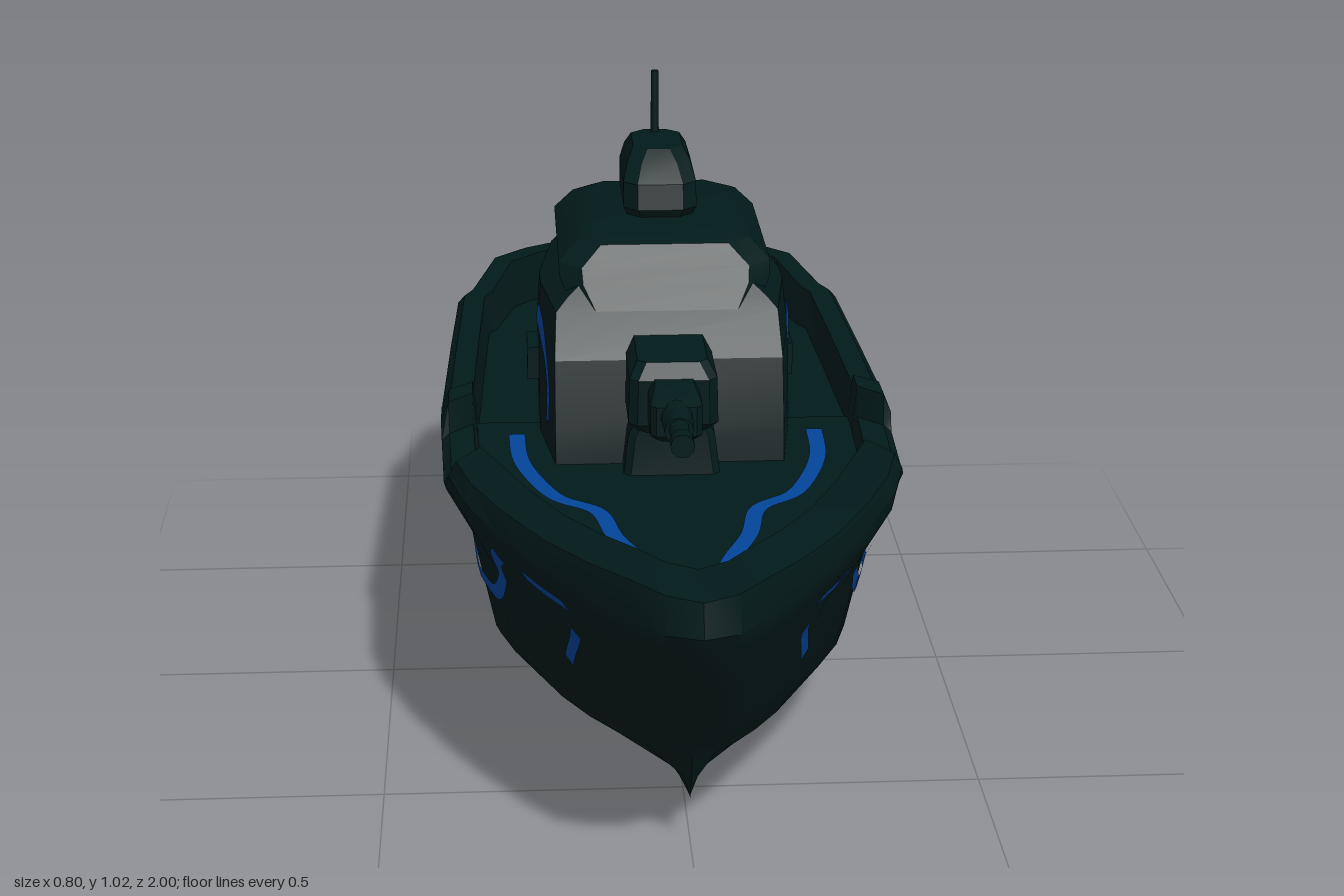
import * as THREE from 'three';
import { toCreasedNormals } from 'three/addons/utils/BufferGeometryUtils.js';

// Skin a list of equal-length rings of [x, y, z], closing both ends with strips
function loft(rings, crease) {
  const n = rings[0].length, pos = [];
  const quad = (a, b, c, d) => pos.push(...a, ...b, ...c, ...a, ...c, ...d);
  for (let i = 0; i < rings.length - 1; i++) {
    const p = rings[i], q = rings[i + 1];
    for (let j = 0; j < n; j++) {
      const k = (j + 1) % n;
      quad(p[j], p[k], q[k], q[j]);
    }
  }
  const first = rings[0], last = rings[rings.length - 1];
  for (let j = 0; j < n / 2; j++) {
    const m = (n - j) % n, l = n - j - 1;
    quad(first[j], first[m], first[l], first[j + 1]);
    quad(last[j], last[j + 1], last[l], last[m]);
  }
  const g = new THREE.BufferGeometry();
  g.setAttribute('position', new THREE.Float32BufferAttribute(pos, 3));
  g.computeVertexNormals();
  return toCreasedNormals(g, crease);
}

// Tapering block from sections [y, halfWidth, zBack, zFront]; corners cut by cx and cz
function block(sections, cx, cz = cx) {
  return loft(sections.map(([y, w, b, f]) => [
    [w, y, f - cz], [w, y, b + cz], [w - cx, y, b], [cx - w, y, b],
    [-w, y, b + cz], [-w, y, f - cz], [cx - w, y, f], [w - cx, y, f],
  ]), 0.4);
}

// Hull: stations run stern to bow, each with half width and bulwark height
function hullGeometry() {
  const stations = [
    [-1, 0.2, 0.52], [-0.95, 0.25, 0.525], [-0.88, 0.315, 0.525], [-0.71, 0.36, 0.51],
    [-0.68, 0.378, 0.506], [-0.4, 0.389, 0.506], [-0.06, 0.4, 0.506], [-0.05, 0.401, 0.524],
    [0.02, 0.401, 0.524], [0.04, 0.4, 0.472], [0.25, 0.393, 0.472], [0.3, 0.384, 0.515],
    [0.42, 0.357, 0.52], [0.56, 0.304, 0.525], [0.7, 0.238, 0.53], [0.82, 0.171, 0.54],
    [0.92, 0.105, 0.55], [0.98, 0.057, 0.55], [1, 0, 0.545],
  ];
  return loft(stations.map(([z, w, top]) => {
    const lift = 0.08 * Math.pow(Math.max(0, (z - 0.2) / 0.8), 1.5) + (z < -0.9 ? 0.012 : 0);
    const deck = z > -0.055 ? 0.442 : 0.43;
    const stern = z < -0.9;
    const flare = 1 - 0.04 * THREE.MathUtils.clamp((z - 0.1) / 0.4, 0, 1);
    const rim = z > 0.35 ? 0.82 : 0.86;
    // Levels: width factor, height, z at stern, z at bow
    const half = [
      [0, lift, -0.82, 0.7], [0.2, 0.045 + lift, -0.83, 0.72],
      [0.65, 0.1 + lift, -0.84, 0.75], [0.8 * flare, 0.16 + lift, -0.85, 0.79],
      [stern ? 0.94 : 0.9 * flare, stern ? 0.37 : 0.35, -0.995, 0.9],
      [0.99, Math.min(0.455, top - 0.03), -1, 0.98],
      [1, Math.min(0.49, top - 0.012), -1, 1], [0.965, top, -0.99, 0.99],
      [rim, top, -0.95, 0.86], [rim - 0.02, deck, -0.945, 0.84], [0, deck, -0.945, 0.84],
    ].map(([k, y, b, f]) => [k * w, y, THREE.MathUtils.lerp(b, f, (z + 1) / 2)]);
    const mirror = half.slice(1, -1).reverse().map(([x, y, zz]) => [-x, y, zz]);
    return [...half, ...mirror];
  }), 0.6);
}

// Painted ribbon laid onto a mesh: along x for [z, y] paths, downward for [x, z] paths
function stripe(target, path, width, down) {
  const curve = new THREE.SplineCurve(path.map(p => new THREE.Vector2(...p)));
  const count = Math.max(6, Math.ceil(curve.getLength() / 0.015));
  const ray = new THREE.Raycaster(), pos = [], index = [];
  const across = 3;
  for (let i = 0; i <= count; i++) {
    const p = curve.getPointAt(i / count), t = curve.getTangentAt(i / count);
    for (let s = 0; s < across; s++) {
      const o = (s / (across - 1) - 0.5) * width;
      const a = p.x - t.y * o, b = p.y + t.x * o;
      if (down) ray.set(new THREE.Vector3(a, 3, b), new THREE.Vector3(0, -1, 0));
      else ray.set(new THREE.Vector3(3, b, a), new THREE.Vector3(-1, 0, 0));
      const at = ray.intersectObject(target)[0].point;
      pos.push(at.x + (down ? 0 : 0.005), at.y + (down ? 0.005 : 0), at.z);
      if (i < count && s < across - 1) {
        const k = i * across + s;
        index.push(k, k + 1, k + across, k + 1, k + across + 1, k + across);
      }
    }
  }
  const g = new THREE.BufferGeometry();
  g.setAttribute('position', new THREE.Float32BufferAttribute(pos, 3));
  g.setIndex(index);
  g.computeVertexNormals();
  return g;
}

export function createModel() {
  const group = new THREE.Group();
  const dark = new THREE.MeshStandardMaterial({ color: 0x021a1a });
  dark.name = 'darkTeal';
  const blue = new THREE.MeshStandardMaterial({ color: 0x04449a, side: THREE.DoubleSide });
  blue.name = 'stripeBlue';
  const add = (name, geometry, material = dark) => {
    const mesh = new THREE.Mesh(geometry, material);
    mesh.name = name;
    group.add(mesh);
    return mesh;
  };
  const box = (name, w, h, d, x, y, z) =>
    add(name, new THREE.BoxGeometry(w, h, d).translate(x, y, z));
  const rod = (name, r0, r1, len, y, z) =>
    add(name, new THREE.CylinderGeometry(r1, r0, len, 12).rotateX(Math.PI / 2).translate(0, y, z));

  const hull = add('hull', hullGeometry());

  // Deckhouse, wheelhouse and sensor dome
  const house = add('deckhouse', block([
    [0.42, 0.225, -0.52, 0.13], [0.5, 0.225, -0.5, 0.12], [0.62, 0.224, -0.45, 0.09],
    [0.69, 0.22, -0.42, 0.03], [0.71, 0.2, -0.415, 0.01], [0.73, 0.175, -0.41, -0.01],
  ], 0.025, 0.19));
  add('wheelhouse', block([
    [0.69, 0.165, -0.42, 0.03], [0.73, 0.186, -0.465, 0.0], [0.755, 0.188, -0.47, -0.02],
    [0.79, 0.153, -0.46, -0.045], [0.8, 0.135, -0.44, -0.07],
  ], 0.04));
  add('sensorDome', block([
    [0.79, 0.055, -0.4, -0.19], [0.815, 0.066, -0.415, -0.175], [0.86, 0.066, -0.415, -0.185],
    [0.89, 0.057, -0.41, -0.22], [0.91, 0.045, -0.4, -0.25],
  ], 0.025));
  add('mast', new THREE.CylinderGeometry(0.007, 0.008, 0.125, 10).translate(0, 0.9625, -0.385));
  add('rearChute', block([
    [0.42, 0.07, -0.56, -0.4], [0.5, 0.07, -0.53, -0.4], [0.7, 0.06, -0.445, -0.38],
  ], 0.01));

  // Side lockers
  for (const s of [1, -1]) box('sideLocker', 0.03, 0.06, 0.1, s * 0.23, 0.52, -0.25);

  // Forward gun
  add('gunPlinth', block([
    [0.43, 0.085, 0.05, 0.19], [0.51, 0.075, 0.05, 0.18], [0.54, 0.06, 0.05, 0.18],
  ], 0.012));
  add('gunHousing', block([
    [0.53, 0.06, 0.04, 0.215], [0.55, 0.077, 0.04, 0.235],
    [0.63, 0.075, 0.04, 0.235], [0.655, 0.06, 0.04, 0.21],
  ], 0.015));
  add('gunCradle', block([
    [0.545, 0.033, 0.2, 0.3], [0.56, 0.044, 0.2, 0.32],
    [0.612, 0.044, 0.2, 0.32], [0.632, 0.033, 0.2, 0.26],
  ], 0.01));
  rod('gunSleeve', 0.028, 0.024, 0.08, 0.593, 0.345);
  rod('gunBarrel', 0.018, 0.016, 0.12, 0.597, 0.4);
  rod('gunMuzzle', 0.02, 0.02, 0.03, 0.602, 0.467);

  // Transom step
  box('transomStep', 0.16, 0.02, 0.05, 0, 0.19, -0.86);

  // Blue markings, mirrored left and right
  const paint = (name, target, path, width, down) => {
    const g = stripe(target, path, width, down);
    add(name, g, blue);
    add(name, g, blue).scale.x = -1;
  };
  const hullPaths = [
    [[0.53, 0.437], [0.46, 0.4], [0.34, 0.295], [0.2, 0.275], [0.03, 0.28], [-0.005, 0.33], [-0.025, 0.43]],
    [[0.74, 0.437], [0.62, 0.442]],
    [[0.7, 0.375], [0.65, 0.33], [0.605, 0.285]],
    [[-0.06, 0.365], [-0.23, 0.37]],
    [[-0.4, 0.37], [-0.45, 0.33], [-0.49, 0.25]],
    [[-0.77, 0.432], [-0.83, 0.452]],
  ];
  hullPaths.forEach((path, i) => paint('hullStripe', hull, path, i ? 0.02 : 0.027));
  paint('houseStripe', house,
    [[0.06, 0.5], [0.055, 0.56], [0.015, 0.605], [-0.05, 0.635], [-0.12, 0.65]], 0.03);
  paint('deckStripe', hull,
    [[0.267, -0.02], [0.262, 0.1], [0.24, 0.2], [0.2, 0.3], [0.135, 0.365], [0.11, 0.48],
      [0.07, 0.59], [0.045, 0.7]], 0.029, true);
  return group;
}
